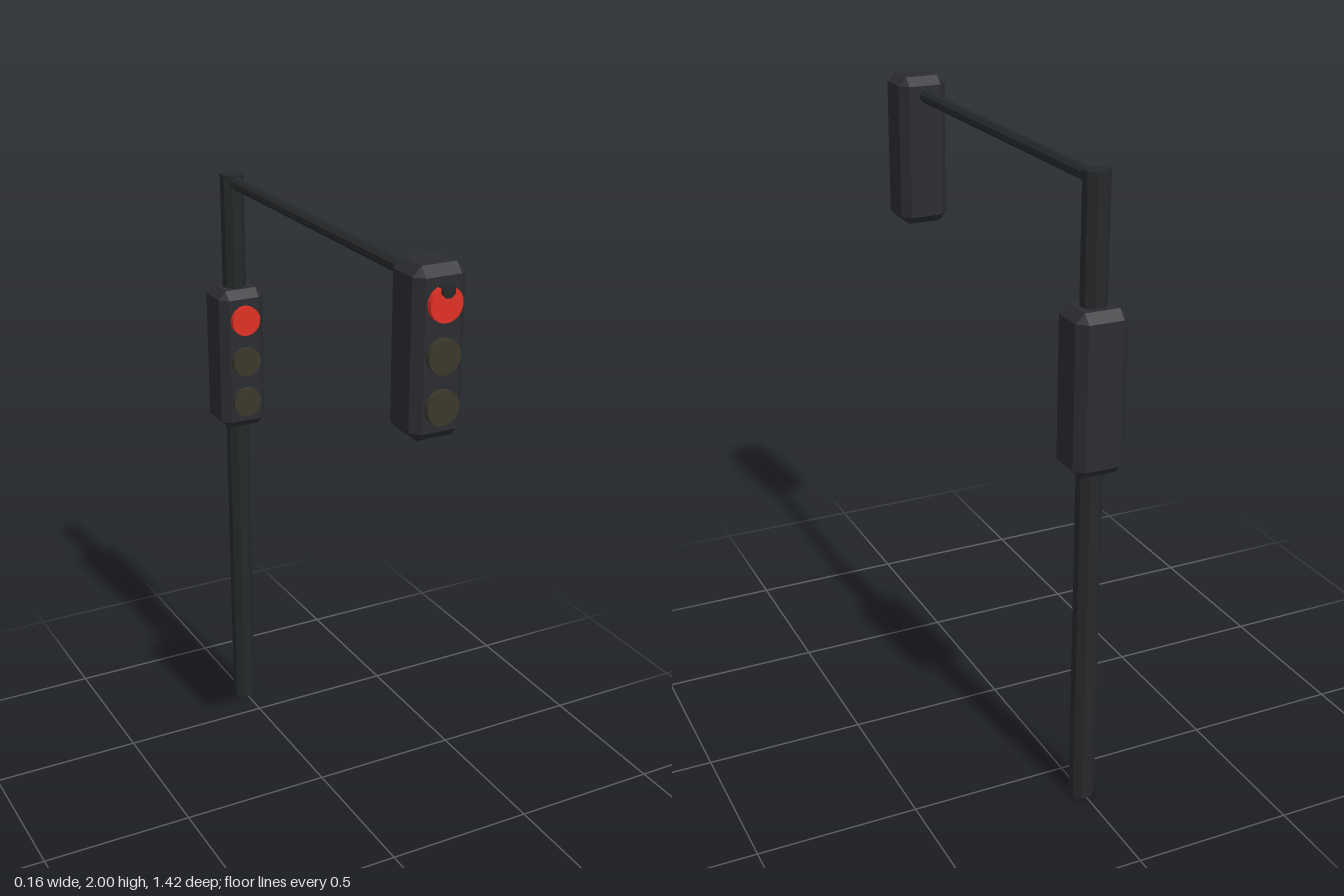
import * as THREE from 'three';
import { ConvexGeometry } from 'three/addons/geometries/ConvexGeometry.js';

const material = (color) => new THREE.MeshStandardMaterial({ color, flatShading: true });

// Box with every edge and corner cut off by c
function chamferedBox(w, h, d, c) {
  const points = [];
  for (const x of [-1, 1]) for (const y of [-1, 1]) for (const z of [-1, 1]) {
    for (let axis = 0; axis < 3; axis++) {
      const half = [w / 2 - c, h / 2 - c, d / 2 - c];
      half[axis] += c;
      points.push(new THREE.Vector3(x * half[0], y * half[1], z * half[2]));
    }
  }
  return new ConvexGeometry(points);
}

export function createModel() {
  const model = new THREE.Group();
  model.name = 'trafficLight';
  const housingMat = material(0x2b2c31);
  const poleMat = material(0x25282a);
  const redMat = material(0xe03024);
  const unlitMat = material(0x3a382b);

  const add = (parent, name, geometry, mat, x, y, z) => {
    const mesh = new THREE.Mesh(geometry, mat);
    mesh.name = name;
    mesh.position.set(x, y, z);
    parent.add(mesh);
    return mesh;
  };

  // Upright pole and the horizontal arm that passes through the hanging signal
  const poleGeo = new THREE.CylinderGeometry(0.039, 0.039, 1.965, 8);
  poleGeo.rotateY(Math.PI / 8);
  add(model, 'pole', poleGeo, poleMat, 0, 0.9825, -0.632);
  const armGeo = new THREE.CylinderGeometry(0.0205, 0.0205, 1.342, 8);
  armGeo.rotateY(Math.PI / 8).rotateX(Math.PI / 2);
  add(model, 'arm', armGeo, poleMat, 0, 1.94, 0.039);

  // Signal heads: chamfered housing with three round lamps on the front
  const housingGeo = chamferedBox(0.162, 0.487, 0.152, 0.027);
  const lampGeo = new THREE.CylinderGeometry(0.05, 0.05, 0.04, 24);
  lampGeo.rotateX(Math.PI / 2);
  const signal = (name, y, z) => {
    const head = new THREE.Group();
    head.name = name;
    head.position.set(0, y, z);
    add(head, 'housing', housingGeo, housingMat, 0, 0, 0);
    ['redLamp', 'amberLamp', 'greenLamp'].forEach((lamp, i) =>
      add(head, lamp, lampGeo, i === 0 ? redMat : unlitMat, 0, 0.144 - i * 0.144, 0.074));
    model.add(head);
  };
  signal('poleSignal', 1.346, -0.634);
  signal('hangingSignal', 1.757, 0.607);

  return model;
}
